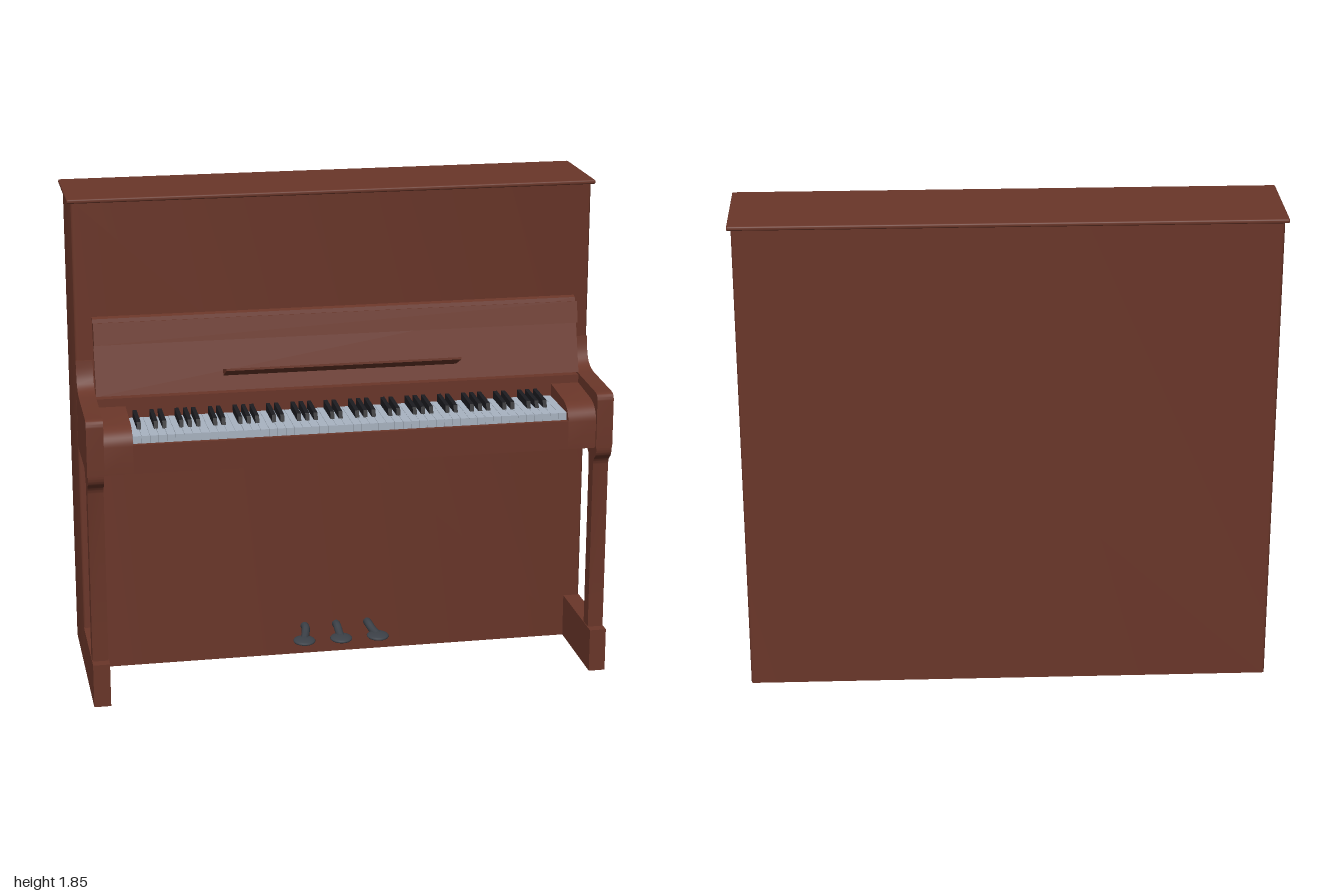
import * as THREE from 'three';
import { mergeGeometries, toCreasedNormals } from 'three/addons/utils/BufferGeometryUtils.js';
import { RoundedBoxGeometry } from 'three/addons/geometries/RoundedBoxGeometry.js';

const wood = new THREE.MeshStandardMaterial({ color: 0x6a3629 });
const ivory = new THREE.MeshStandardMaterial({ color: 0xa9b4c2 });
const ebony = new THREE.MeshStandardMaterial({ color: 0x1c1c20 });
const metal = new THREE.MeshStandardMaterial({ color: 0x3c4148 });

function add(parent, name, geometry, material = wood) {
  const mesh = new THREE.Mesh(geometry, material);
  mesh.name = name;
  parent.add(mesh);
  return mesh;
}

// Box given by its limits on each axis
function box(x0, x1, y0, y1, z0, z1, radius = 0) {
  const w = x1 - x0, h = y1 - y0, d = z1 - z0;
  const g = radius ? new RoundedBoxGeometry(w, h, d, 2, radius) : new THREE.BoxGeometry(w, h, d);
  return g.translate((x0 + x1) / 2, (y0 + y1) / 2, (z0 + z1) / 2);
}

// Side profile in (z, y), extruded across from x0 to x1
function profile(shape, x0, x1) {
  const g = new THREE.ExtrudeGeometry(shape, { depth: x1 - x0, bevelEnabled: false, curveSegments: 8 });
  g.rotateY(-Math.PI / 2).translate(x1, 0, 0);
  return toCreasedNormals(g, 0.6);
}

const polygon = (...pts) => new THREE.Shape(pts.map(([z, y]) => new THREE.Vector2(z, y)));

// Cabinet footprint with softened vertical edges
function cabinet(w, z0, z1, h, r) {
  const s = new THREE.Shape(), x = w / 2;
  s.moveTo(-x + r, -z1);
  s.lineTo(x - r, -z1).quadraticCurveTo(x, -z1, x, -z1 + r);
  s.lineTo(x, -z0 - r).quadraticCurveTo(x, -z0, x - r, -z0);
  s.lineTo(-x + r, -z0).quadraticCurveTo(-x, -z0, -x, -z0 - r);
  s.lineTo(-x, -z1 + r).quadraticCurveTo(-x, -z1, -x + r, -z1);
  const g = new THREE.ExtrudeGeometry(s, { depth: h, bevelEnabled: false, curveSegments: 4 });
  return toCreasedNormals(g.rotateX(-Math.PI / 2), 0.6);
}

function armShape() {
  const s = new THREE.Shape();
  s.moveTo(0, 0.9);
  s.lineTo(0.38, 0.9);
  s.lineTo(0.38, 1.085);
  s.quadraticCurveTo(0.38, 1.112, 0.345, 1.112);
  s.lineTo(0.11, 1.12);
  s.bezierCurveTo(0.03, 1.125, 0.01, 1.16, 0.005, 1.235);
  s.lineTo(0, 1.235);
  return s;
}

function legShape() {
  const s = new THREE.Shape();
  s.moveTo(0.284, 0.165);
  s.lineTo(0.341, 0.165);
  s.lineTo(0.341, 0.825);
  s.quadraticCurveTo(0.345, 0.85, 0.365, 0.862);
  s.quadraticCurveTo(0.38, 0.875, 0.38, 0.9);
  s.lineTo(0.245, 0.9);
  s.quadraticCurveTo(0.247, 0.875, 0.265, 0.862);
  s.quadraticCurveTo(0.284, 0.85, 0.284, 0.825);
  return s;
}

function cheekShape() {
  const s = new THREE.Shape();
  s.moveTo(0.1, 0.9);
  s.lineTo(0.37, 0.9);
  s.lineTo(0.37, 1.005);
  s.quadraticCurveTo(0.365, 1.055, 0.3, 1.07);
  s.lineTo(0.1, 1.085);
  return s;
}

function buildKeys(group) {
  const count = 52, half = 0.813, step = (2 * half) / count;
  const whites = [], blacks = [];
  for (let i = 0; i < count; i++) {
    const x = -half + i * step;
    whites.push(box(x + 0.0006, x + step - 0.0006, 1.0, 1.038, 0.11, 0.352));
    // Sharps follow A, C, D, F and G
    if (i < count - 1 && [0, 2, 3, 5, 6].includes(i % 7)) {
      const c = x + step;
      blacks.push(profile(polygon([0.12, 1.03], [0.275, 1.03], [0.262, 1.064], [0.12, 1.068]), c - 0.0075, c + 0.0075));
    }
  }
  add(group, 'whiteKeys', mergeGeometries(whites), ivory);
  add(group, 'blackKeys', mergeGeometries(blacks), ebony);
}

function buildPedal(group, x, toeShift) {
  const pedal = new THREE.Group();
  pedal.name = 'pedal';
  const path = new THREE.CatmullRomCurve3([
    new THREE.Vector3(0, 0.113, -0.01), new THREE.Vector3(0, 0.117, 0.03),
    new THREE.Vector3(toeShift * 0.4, 0.107, 0.07), new THREE.Vector3(toeShift, 0.1, 0.11)]);
  add(pedal, 'pedalNeck', new THREE.TubeGeometry(path, 12, 0.016, 10), metal).scale.y = 1;
  const toe = add(pedal, 'pedalToe', new THREE.SphereGeometry(1, 20, 10), metal);
  toe.scale.set(0.043, 0.011, 0.05);
  toe.position.set(toeShift, 0.099, 0.115);
  pedal.position.x = x;
  group.add(pedal);
}

export function createModel() {
  const piano = new THREE.Group();
  piano.name = 'uprightPiano';

  // Case and lid
  add(piano, 'cabinet', cabinet(1.97, -0.37, 0, 1.832, 0.012));
  add(piano, 'lid', box(-1, 1, 1.83, 1.846, -0.38, 0.01, 0.006));

  // Arms, legs, feet and cheek blocks on both sides
  for (const side of [-1, 1]) {
    const span = (a, b) => (side > 0 ? [a, b] : [-b, -a]);
    add(piano, 'arm', profile(armShape(), ...span(0.922, 0.985)));
    add(piano, 'frontLeg', profile(legShape(), ...span(0.924, 0.983)));
    add(piano, 'foot', box(...span(0.922, 0.985), 0, 0.167, -0.005, 0.38));
    add(piano, 'cheekBlock', profile(cheekShape(), ...span(0.815, 0.922)));
  }

  // Key bed, key slip and the block behind the keys
  add(piano, 'keyBed', box(-0.922, 0.922, 0.9, 1.0, 0, 0.355));
  add(piano, 'keySlip', box(-0.816, 0.816, 0.9, 1.01, 0.353, 0.37));
  add(piano, 'keyBlockRail', box(-0.922, 0.922, 1.0, 1.115, 0, 0.118));
  buildKeys(piano);

  // Leaning fallboard with its thick upper strip and music shelf
  add(piano, 'fallboard', profile(polygon([0.095, 1.133], [0.118, 1.125], [0.037, 1.4], [0.02, 1.405]), -0.922, 0.922));
  add(piano, 'fallboardStrip', profile(polygon([0.063, 1.306], [0.088, 1.312], [0.068, 1.392], [0.038, 1.385]), -0.922, 0.922));
  add(piano, 'musicShelf', profile(polygon([0.096, 1.182], [0.102, 1.178], [0.188, 1.219], [0.187, 1.227], [0.092, 1.2]), -0.445, 0.445));

  // Pedals
  buildPedal(piano, -0.125, -0.02);
  buildPedal(piano, 0, 0);
  buildPedal(piano, 0.125, 0.02);
  return piano;
}
